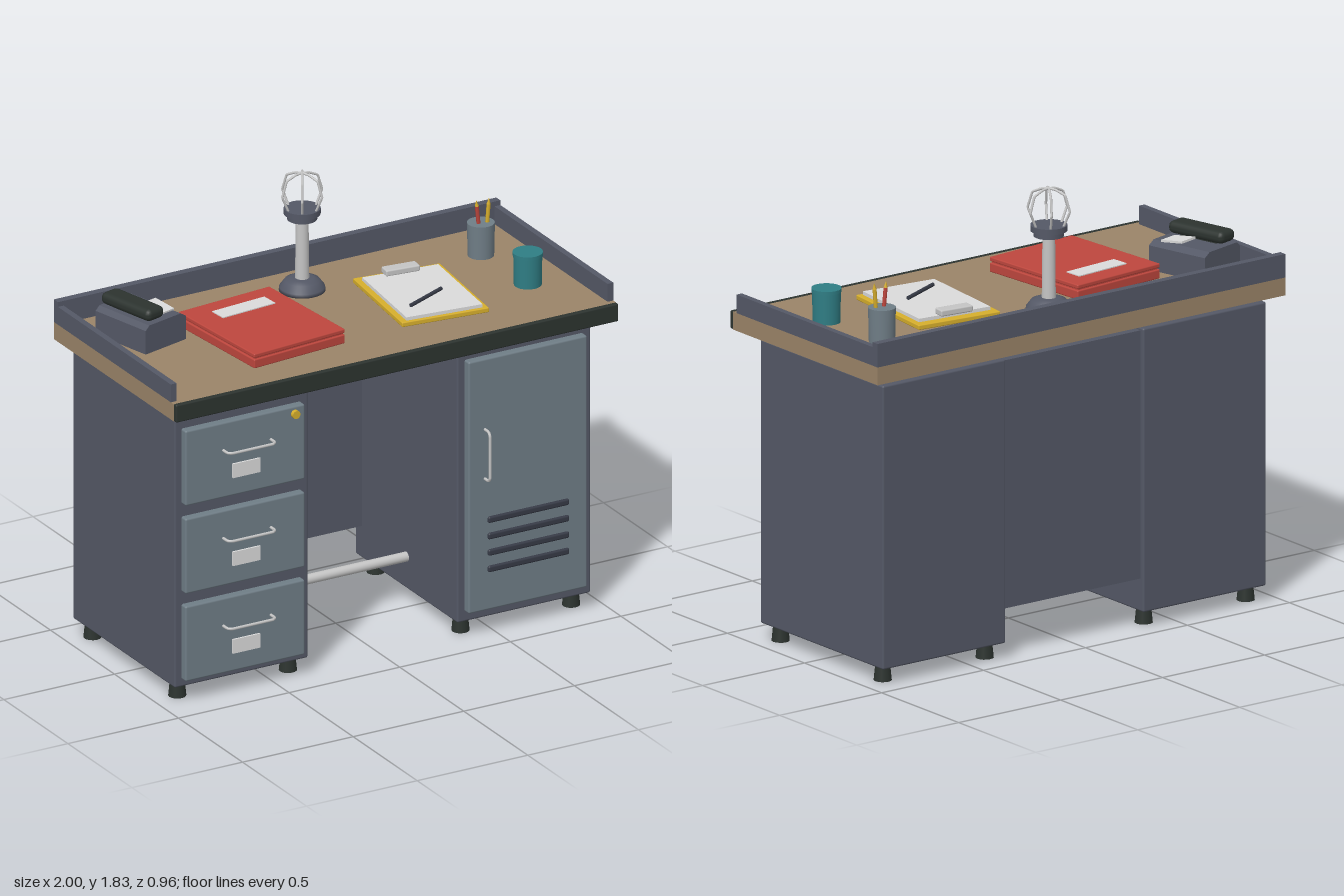
import * as THREE from 'three';
import { RoundedBoxGeometry } from 'three/addons/geometries/RoundedBoxGeometry.js';

const mat = (name, color) => Object.assign(new THREE.MeshStandardMaterial({ color }), { name });

export function createModel() {
  const model = new THREE.Group();
  model.name = 'officeDesk';
  const steel = mat('slate steel', 0x545866), front = mat('blue grey steel', 0x6f7d86);
  const wood = mat('tan laminate', 0x9a8468), rubber = mat('black rubber', 0x2c332f);
  const metal = mat('light metal', 0xc4c4c4), paper = mat('paper', 0xdadada);
  const red = mat('red card', 0xbd463d), yellow = mat('yellow', 0xd6ae2c);
  const teal = mat('teal', 0x2f7d84), dark = mat('dark trim', 0x363a46);

  // Helpers: every mesh is placed by its centre
  const add = (name, geo, material, x, y, z, parent = model) => {
    const m = new THREE.Mesh(geo, material);
    m.name = name;
    m.position.set(x, y, z);
    parent.add(m);
    return m;
  };
  const box = (name, material, w, h, d, x, y, z, parent) =>
    add(name, new THREE.BoxGeometry(w, h, d), material, x, y, z, parent);
  const soft = (name, material, w, h, d, x, y, z, parent, r = 0.008) =>
    add(name, new RoundedBoxGeometry(w, h, d, 2, r), material, x, y, z, parent);
  const cyl = (name, material, rTop, rBottom, h, x, y, z, parent, sides = 24) =>
    add(name, new THREE.CylinderGeometry(rTop, rBottom, h, sides), material, x, y, z, parent);
  const group = (name, x, y, z, turn = 0) => {
    const g = new THREE.Group();
    g.name = name;
    g.position.set(x, y, z);
    g.rotation.y = turn;
    model.add(g);
    return g;
  };
  // Straight-sided wire through a few points
  const wire = (points, r) => {
    const path = new THREE.CurvePath();
    for (let i = 1; i < points.length; i++)
      path.add(new THREE.LineCurve3(new THREE.Vector3(...points[i - 1]), new THREE.Vector3(...points[i])));
    return new THREE.TubeGeometry(path, 30, r, 8, false);
  };
  // Pull handle with its ends bent back to the face
  const handle = (name, length, x, y, z, reach, upright) => {
    const a = length / 2;
    const m = add(name, wire([[-a, 0, 0], [-a, 0, reach * 0.75], [-a + 0.015, 0, reach],
      [a - 0.015, 0, reach], [a, 0, reach * 0.75], [a, 0, 0]], 0.006), metal, x, y, z);
    if (upright) m.rotation.z = Math.PI / 2;
  };

  // Pedestals on tapered feet
  for (const s of [-1, 1]) {
    soft(s < 0 ? 'drawerPedestal' : 'cabinetPedestal', steel, 0.603, 1.161, 0.797, s * 0.6385, 0.6445, -0.0315);
    for (const x of [0.39, 0.89])
      for (const z of [0.3, -0.362])
        cyl('foot', rubber, 0.029, 0.036, 0.07, s * x, 0.035, z, model, 16);
  }
  box('modestyPanel', steel, 0.69, 1.015, 0.035, 0, 0.7075, -0.395);
  cyl('footRail', metal, 0.02, 0.02, 0.69, 0, 0.2, -0.03).rotation.z = Math.PI / 2;

  // Drawers
  for (const y of [1.005, 0.63, 0.2565]) {
    soft('drawerFront', front, 0.54, 0.32, 0.045, -0.64, y, 0.3775);
    handle('drawerHandle', 0.215, -0.632, y + 0.043, 0.395, 0.05, false);
    box('drawerLabel', paper, 0.124, 0.06, 0.009, -0.638, y - 0.052, 0.4035);
  }
  cyl('drawerLock', yellow, 0.017, 0.017, 0.02, -0.417, 1.134, 0.406).rotation.x = Math.PI / 2;

  // Cabinet door with vent slots
  soft('cabinetDoor', front, 0.536, 1.073, 0.045, 0.638, 0.6435, 0.3775);
  handle('doorHandle', 0.21, 0.443, 0.775, 0.395, 0.046, true);
  for (let i = 0; i < 4; i++)
    soft('ventSlot', dark, 0.366, 0.027, 0.02, 0.638, 0.492 - i * 0.07, 0.4, model, 0.008);

  // Worktop and surrounding rails
  box('worktop', wood, 2, 0.073, 0.937, 0, 1.2875, -0.0055);
  soft('frontEdge', rubber, 2, 0.075, 0.022, 0, 1.2885, 0.472, model, 0.006);
  box('backRail', steel, 2, 0.096, 0.032, 0, 1.372, -0.458);
  for (const s of [-1, 1]) box('sideRail', steel, 0.026, 0.076, 0.882, s * 0.987, 1.362, -0.001);

  // Telephone
  const phone = group('telephone', -0.778, 1.324, -0.178, 0.25);
  const outline = new THREE.Shape([[-0.11, 0], [0.11, 0], [0.11, 0.1], [0.08, 0.118], [-0.09, 0.118], [-0.11, 0.1]]
    .map(p => new THREE.Vector2(...p)));
  const body = new THREE.ExtrudeGeometry(outline, { depth: 0.28, bevelEnabled: false });
  add('phoneBody', body, steel, 0, 0, -0.14, phone);
  box('handsetCradle', rubber, 0.04, 0.03, 0.18, -0.045, 0.128, 0, phone);
  soft('handset', rubber, 0.092, 0.05, 0.275, -0.045, 0.15, 0, phone, 0.022);
  const keypad = box('keypad', paper, 0.085, 0.009, 0.105, 0.045, 0.127, 0.045, phone);
  keypad.rotation.x = 0.12;

  // Red binder
  const binder = group('binder', -0.36, 1.325, 0.045, 0.09);
  soft('binderBase', red, 0.435, 0.038, 0.515, 0, 0.019, 0, binder, 0.005);
  box('binderPages', red, 0.42, 0.01, 0.5, 0, 0.041, 0, binder);
  soft('binderCover', red, 0.435, 0.018, 0.515, 0, 0.053, 0, binder, 0.005);
  box('binderLabel', paper, 0.25, 0.006, 0.075, 0.012, 0.063, -0.14, binder);

  // Clipboard with paper, clip and pen
  const clipboard = group('clipboard', 0.362, 1.325, 0.041, -0.11);
  soft('clipboardBack', yellow, 0.372, 0.02, 0.48, 0, 0.01, 0, clipboard, 0.004);
  box('paperSheets', paper, 0.325, 0.014, 0.43, 0, 0.027, 0.012, clipboard);
  soft('clip', metal, 0.145, 0.026, 0.052, 0, 0.045, -0.197, clipboard, 0.006);
  const pen = cyl('pen', dark, 0.008, 0.008, 0.205, 0.334, 1.367, 0.128, model, 10);
  pen.rotation.set(0, 0.43, Math.PI / 2);

  // Caged lamp
  const lamp = group('lamp', 0, 1.325, -0.262);
  const lampBase = [[0, 0], [0.092, 0], [0.09, 0.015], [0.07, 0.042], [0.045, 0.052], [0, 0.052]];
  add('lampBase', new THREE.LatheGeometry(lampBase.map(p => new THREE.Vector2(...p)), 32), steel, 0, 0, 0, lamp);
  cyl('lampStem', metal, 0.025, 0.028, 0.27, 0, 0.18, 0, lamp);
  cyl('lampCollar', steel, 0.06, 0.06, 0.025, 0, 0.315, 0, lamp);
  cyl('lampCollarRim', steel, 0.073, 0.073, 0.023, 0, 0.337, 0, lamp);
  const cage = wire([[0.062, 0.345, 0], [0.09, 0.41, 0], [0.07, 0.475, 0], [0.03, 0.493, 0], [0, 0.497, 0]], 0.005);
  for (let i = 0; i < 6; i++) add('cageWire', cage, metal, 0, 0, 0, lamp).rotation.y = i * Math.PI / 3;

  // Pencil cup
  cyl('pencilCup', front, 0.055, 0.052, 0.14, 0.775, 1.395, -0.205);
  for (const [m, x, z, h, lean] of [[red, 0.762, -0.2, 0.1, 0.1], [yellow, 0.797, -0.195, 0.1, -0.08]]) {
    const pencil = group('pencil', x, 1.455, z);
    pencil.rotation.z = lean;
    cyl('pencilShaft', m, 0.008, 0.008, h, 0, h / 2 - 0.015, 0, pencil, 6);
    cyl('pencilTip', yellow, 0.001, 0.008, 0.024, 0, h - 0.003, 0, pencil, 6);
  }

  // Teal mug with a rim band
  cyl('mug', teal, 0.057, 0.055, 0.125, 0.79, 1.3875, 0.135);
  cyl('mugRim', teal, 0.06, 0.06, 0.014, 0.79, 1.457, 0.135);
  return model;
}
